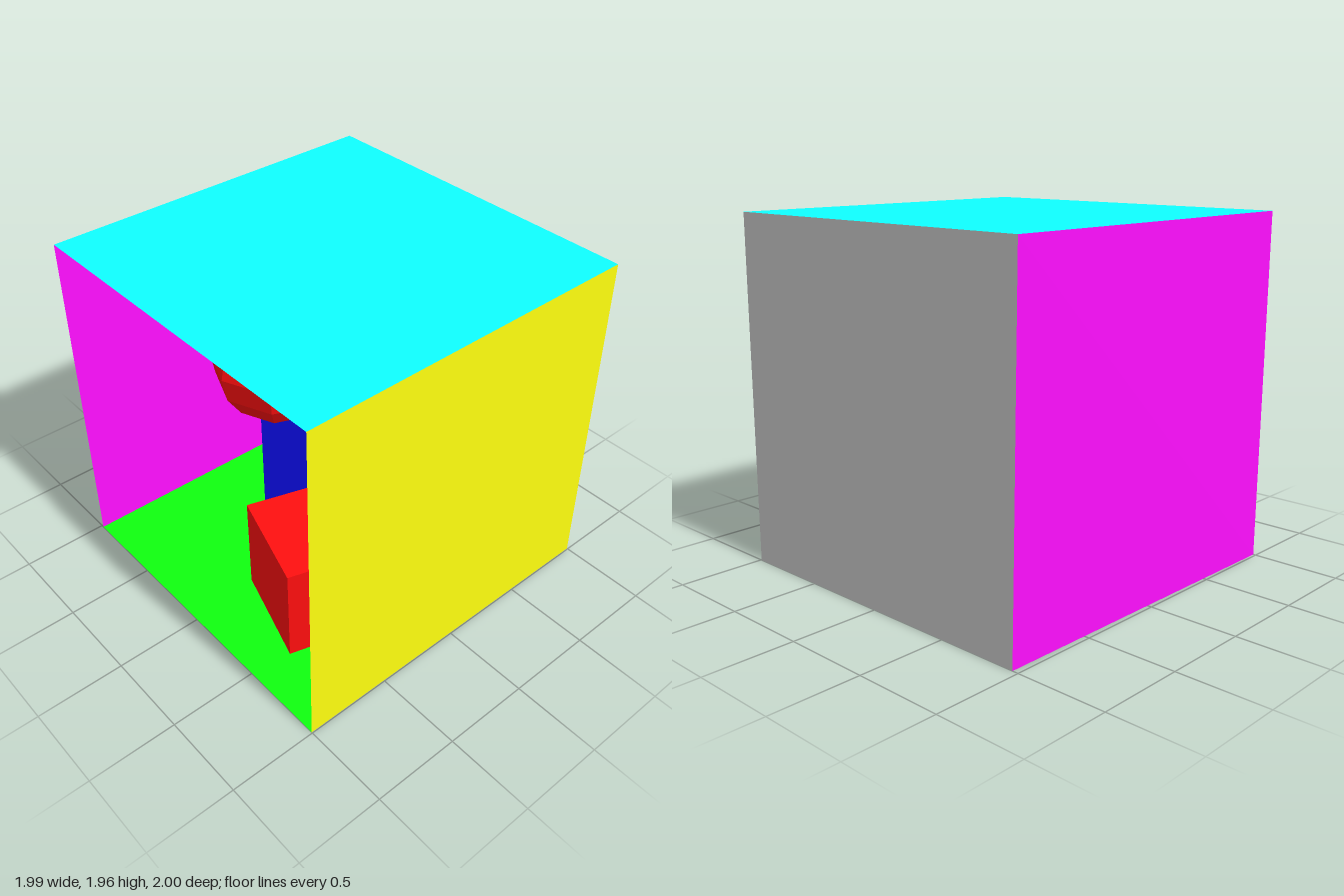
import * as THREE from 'three';

const COLORS = {
  grey: 0xcccccc, red: 0xff0f0f, blue: 0x0f0fff, green: 0x0fff0f,
  cyan: 0x0fffff, yellow: 0xffff0f, purple: 0xff0fff,
};

function addMesh(group, name, geometry, color, side = THREE.FrontSide) {
  const material = new THREE.MeshStandardMaterial({ color, side, flatShading: true });
  const mesh = new THREE.Mesh(geometry, material);
  mesh.name = name;
  group.add(mesh);
  return mesh;
}

// Flat four-cornered panel, corners counter-clockwise from its front
function panel(corners) {
  const geometry = new THREE.BufferGeometry();
  geometry.setAttribute('position', new THREE.Float32BufferAttribute(corners.flat(), 3));
  geometry.setIndex([0, 1, 2, 0, 2, 3]);
  geometry.computeVertexNormals();
  return geometry;
}

// Upright block over a footprint of [x, z] points, resting just on the floor
function block(footprint, height) {
  const lift = 0.002;
  const shape = new THREE.Shape(footprint.map(([x, z]) => new THREE.Vector2(x, -z)));
  return new THREE.ExtrudeGeometry(shape, { depth: height - lift, bevelEnabled: false })
    .rotateX(-Math.PI / 2)
    .translate(0, lift, 0);
}

export function createModel() {
  const model = new THREE.Group();
  model.name = 'openRoom';

  // Room corners; the right wall leans and flares slightly
  const H = 1.96, X = 0.995;
  const floorFR = [-0.985, 0, 1], floorBR = [-0.966, 0, -1];
  const floorFL = [X, 0, 1], floorBL = [X, 0, -1];
  const topFR = [-X, H, 1], topBR = [-X, H, -1];
  const topFL = [X, H, 1], topBL = [X, H, -1];

  // Thin panels, open at the front
  const panels = [
    ['floor', [floorFR, floorFL, floorBL, floorBR], COLORS.green],
    ['ceiling', [topFR, topBR, topBL, topFL], COLORS.cyan],
    ['backWall', [floorBR, floorBL, topBL, topBR], COLORS.grey],
    ['leftWall', [floorBL, floorFL, topFL, topBL], COLORS.yellow],
    ['rightWall', [floorFR, floorBR, topBR, topFR], COLORS.purple],
  ];
  for (const [name, corners, color] of panels) {
    addMesh(model, name, panel(corners), color, THREE.DoubleSide);
  }

  // Turned blocks on the floor
  addMesh(model, 'shortBlock',
    block([[0.532, 0.764], [0.70, 0.192], [0.138, 0.025], [-0.039, 0.586]], 0.59), COLORS.red);
  addMesh(model, 'tallBlock',
    block([[-0.512, 0.113], [0.049, -0.064], [-0.128, -0.635], [-0.69, -0.458]], 1.18), COLORS.blue);

  // Faceted ball floating in front of the tall block
  addMesh(model, 'ball', new THREE.SphereGeometry(0.355, 8, 8), COLORS.red)
    .position.set(-0.002, 1.52, 0.36);

  return model;
}
